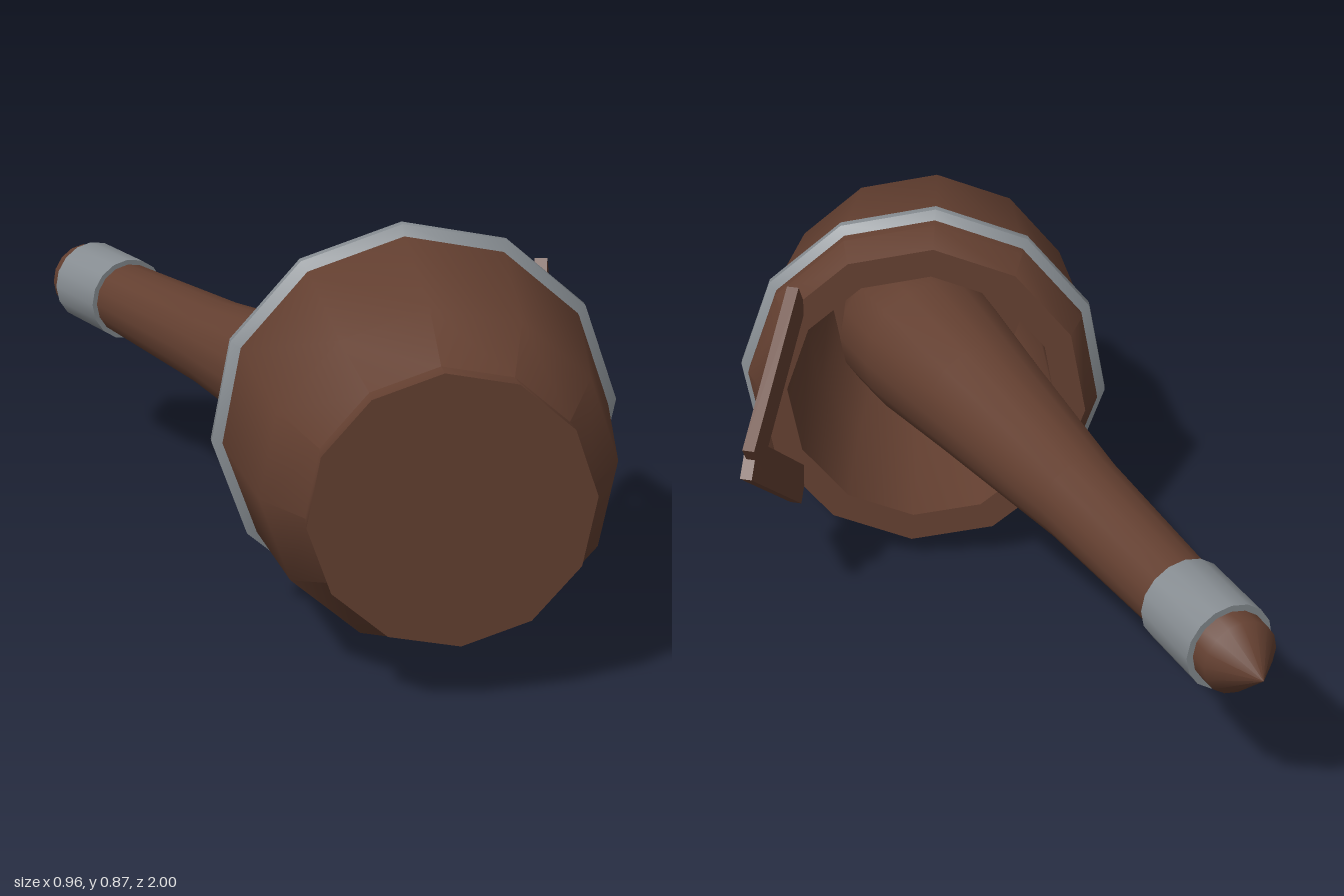
import * as THREE from 'three';
import { toCreasedNormals } from 'three/addons/utils/BufferGeometryUtils.js';

const wood = new THREE.MeshStandardMaterial({ name: 'dark wood', color: 0x633f30 });
const metal = new THREE.MeshStandardMaterial({ name: 'grey metal', color: 0x868c91 });

// Turned part: profile is [radius, height along axis] pairs
function turned(name, profile, sides, material, crease = 0.65) {
  const points = profile.map(([r, t]) => new THREE.Vector2(r, t));
  const geometry = toCreasedNormals(new THREE.LatheGeometry(points, sides), crease);
  const mesh = new THREE.Mesh(geometry, material);
  mesh.name = name;
  return mesh;
}

// Group whose local y runs from one point towards another, local z facing up
function axisGroup(name, from, to) {
  const group = new THREE.Group();
  group.name = name;
  const y = to.clone().sub(from).normalize();
  const x = new THREE.Vector3().crossVectors(y, new THREE.Vector3(0, 1, 0)).normalize();
  const z = new THREE.Vector3().crossVectors(x, y);
  group.quaternion.setFromRotationMatrix(new THREE.Matrix4().makeBasis(x, y, z));
  group.position.copy(from);
  return group;
}

// Flat bar between two points, lying in the plane with the given normal
function bar(name, from, to, width, thickness, normal) {
  const y = to.clone().sub(from);
  const mesh = new THREE.Mesh(new THREE.BoxGeometry(width, y.length(), thickness), wood);
  y.normalize();
  const x = new THREE.Vector3().crossVectors(y, normal).normalize();
  const z = new THREE.Vector3().crossVectors(x, y);
  mesh.quaternion.setFromRotationMatrix(new THREE.Matrix4().makeBasis(x, y, z));
  mesh.position.copy(from).add(to).multiplyScalar(0.5);
  mesh.name = name;
  return mesh;
}

export function createModel() {
  const model = new THREE.Group();
  model.name = 'mortarAndPestle';
  const v = (x, y, z) => new THREE.Vector3(x, y, z);

  // Hollow twelve-sided bowl lying on its side
  const bowl = axisGroup('bowl', v(-0.16, 0.425, 0.927), v(0.005, 0.444, 0.288));
  const body = turned('bowlBody', [
    [0, 0], [0.29, 0], [0.287, 0.05], [0.367, 0.175], [0.415, 0.5],
    [0.418, 0.59], [0.388, 0.66], [0.32, 0.66], [0.29, 0.35], [0.25, 0.12], [0, 0.12],
  ], 12, wood);
  const hoop = turned('bowlHoop', [
    [0.39, 0.495], [0.438, 0.525], [0.438, 0.545], [0.39, 0.578],
  ], 12, metal);
  body.rotation.y = hoop.rotation.y = -0.07;
  bowl.add(body, hoop);
  model.add(bowl);

  // Long tapering pestle with a pointed end and a metal sleeve
  const pestle = axisGroup('pestle', v(-0.03, 0.435, 0.78), v(-0.4, 0.45, -1));
  pestle.add(turned('pestleShaft', [
    [0, 0], [0.14, 0.01], [0.185, 0.1], [0.182, 0.25], [0.152, 0.54],
    [0.105, 1.042], [0.088, 1.48], [0.085, 1.725], [0, 1.818],
  ], 16, wood, 0.9));
  pestle.add(turned('pestleSleeve', [
    [0.08, 1.49], [0.1, 1.49], [0.1, 1.682], [0.08, 1.682],
  ], 16, metal));
  model.add(pestle);

  // V-shaped handle: two crossed flat bars hinged on the rim
  const handle = new THREE.Group();
  handle.name = 'handle';
  const normal = v(0.88, 0, 0.47);
  handle.add(bar('handleUpperBar', v(0.285, 0.71, 0.365), v(0.453, 0.475, 0.05), 0.09, 0.028, normal));
  handle.add(bar('handleLowerBar', v(0.295, 0.205, 0.36), v(0.46, 0.475, 0.052), 0.09, 0.028, normal));
  model.add(handle);

  return model;
}
